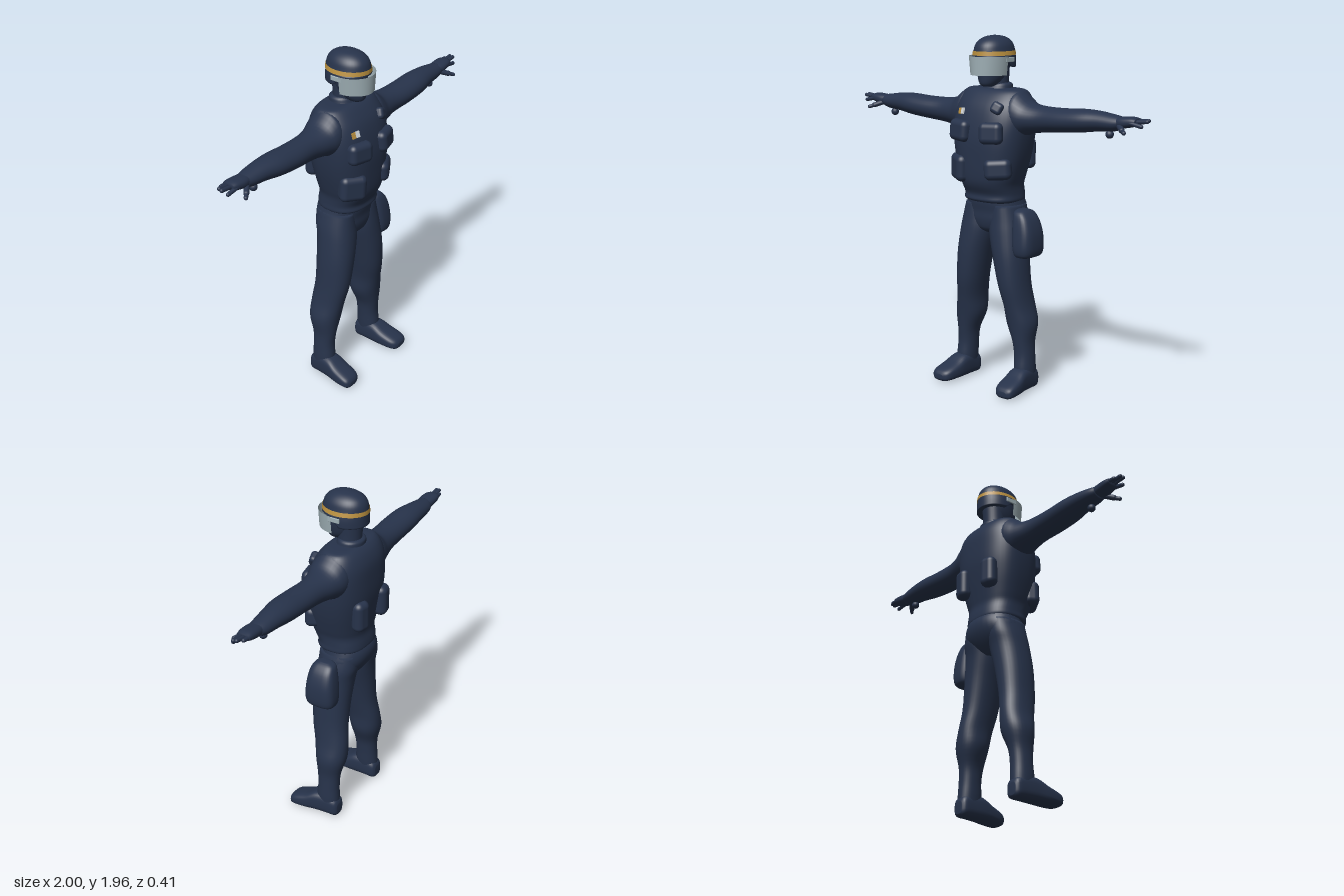
import * as THREE from 'three';
import { RoundedBoxGeometry } from 'three/addons/geometries/RoundedBoxGeometry.js';

const mat = (name, color, side = THREE.FrontSide) => {
  const m = new THREE.MeshStandardMaterial({ color, side });
  m.name = name;
  return m;
};

// Smooth interpolation through rows of numbers
function smoothRows(rows, steps) {
  const out = [], last = rows.length - 1;
  for (let i = 0; i < last; i++) {
    const p = rows[Math.max(i - 1, 0)], a = rows[i], b = rows[i + 1], q = rows[Math.min(i + 2, last)];
    for (let s = 0; s < steps; s++) {
      const t = s / steps;
      out.push(a.map((v, k) => {
        const c3 = 3 * (v - b[k]) + q[k] - p[k];
        const c2 = 2 * p[k] - 5 * v + 4 * b[k] - q[k];
        return v + 0.5 * t * (b[k] - p[k] + t * (c2 + t * c3));
      }));
    }
  }
  out.push(rows[last]);
  return out;
}

// Closed skin through superellipse sections [pos, minU, maxU, minV, maxV]; place(pos, u, v) gives x, y, z
function loft(rows, place, n = 2, steps = 4, sides = 32) {
  const rings = smoothRows(rows, steps), pos = [], idx = [];
  const sp = (v) => Math.sign(v) * Math.abs(v) ** (2 / n);
  for (const [p, u0, u1, v0, v1] of rings) {
    for (let j = 0; j < sides; j++) {
      const a = (j / sides) * Math.PI * 2;
      const u = (u0 + u1) / 2 + ((u1 - u0) / 2) * sp(Math.cos(a));
      const v = (v0 + v1) / 2 + ((v1 - v0) / 2) * sp(Math.sin(a));
      pos.push(...place(p, u, v));
    }
  }
  const last = rings.length - 1;
  for (let i = 0; i < last; i++) {
    for (let j = 0; j < sides; j++) {
      const a = i * sides + j, b = i * sides + (j + 1) % sides, c = a + sides, d = b + sides;
      idx.push(a, c, b, b, c, d);
    }
  }
  [0, last].forEach((r) => {
    const [p, u0, u1, v0, v1] = rings[r], c = pos.length / 3;
    pos.push(...place(p, (u0 + u1) / 2, (v0 + v1) / 2));
    for (let j = 0; j < sides; j++) {
      const a = r * sides + j, b = r * sides + (j + 1) % sides;
      if (r) idx.push(a, c, b);
      else idx.push(a, b, c);
    }
  });
  // Turn the faces outward if the enclosed volume is negative
  let vol = 0;
  const P = (i) => new THREE.Vector3().fromArray(pos, i * 3);
  for (let i = 0; i < idx.length; i += 3) vol += P(idx[i]).dot(P(idx[i + 1]).cross(P(idx[i + 2])));
  if (vol < 0) idx.reverse();
  const g = new THREE.BufferGeometry();
  g.setAttribute('position', new THREE.Float32BufferAttribute(pos, 3));
  g.setIndex(idx);
  g.computeVertexNormals();
  return g;
}

const upright = (y, x, z) => [x, y, z];
// Symmetric upright rows [y, halfWidth, back, front]
const sym = (rows) => rows.map(([y, r, b, f]) => [y, -r, r, b, f]);

export function createModel() {
  const root = new THREE.Group();
  root.name = 'officer';
  const navy = mat('navy cloth', 0x27334b);
  const gold = mat('gold trim', 0xb98f3e, THREE.DoubleSide);
  const glass = mat('pale visor', 0x9fb0b6, THREE.DoubleSide);
  const white = mat('white badge', 0xd5dade);

  const add = (name, geo, m = navy, at = [0, 0, 0], rot = [0, 0, 0], parent = root) => {
    const o = new THREE.Mesh(geo, m);
    o.name = name;
    o.position.set(...at);
    o.rotation.set(...rot);
    parent.add(o);
    return o;
  };

  // Torso with vest, then pelvis, collar, neck and head
  add('vest', loft(sym([
    [1.05, 0.145, -0.13, 0.09], [1.065, 0.165, -0.155, 0.122], [1.1, 0.165, -0.155, 0.122],
    [1.15, 0.168, -0.148, 0.148], [1.2, 0.183, -0.155, 0.16], [1.3, 0.21, -0.172, 0.165],
    [1.4, 0.228, -0.185, 0.165], [1.5, 0.236, -0.185, 0.15], [1.58, 0.225, -0.178, 0.125],
    [1.635, 0.205, -0.155, 0.088], [1.665, 0.18, -0.125, 0.055], [1.672, 0.13, -0.1, 0.03],
  ]), upright, 2.5, 4, 48));
  add('pelvis', loft(sym([
    [0.875, 0.04, -0.08, 0.04], [0.9, 0.11, -0.11, 0.075], [0.95, 0.175, -0.145, 0.09],
    [1.0, 0.178, -0.165, 0.092], [1.05, 0.165, -0.165, 0.1], [1.1, 0.155, -0.14, 0.1],
  ]), upright, 2.3));
  add('collar', loft(sym([
    [1.63, 0.1, -0.125, 0.055], [1.665, 0.085, -0.118, 0.035], [1.69, 0.08, -0.116, 0.025], [1.7, 0.068, -0.1, 0.015],
  ]), upright, 2.1));
  add('neck', loft(sym([[1.62, 0.068, -0.1, 0.03], [1.7, 0.064, -0.1, 0.03], [1.82, 0.068, -0.108, 0.03]]), upright));
  add('head', loft(sym([
    [1.682, 0.025, 0.02, 0.07], [1.695, 0.045, -0.02, 0.09], [1.73, 0.066, -0.07, 0.097],
    [1.79, 0.08, -0.1, 0.1], [1.86, 0.08, -0.11, 0.09], [1.9, 0.05, -0.07, 0.05],
  ]), upright));

  // Helmet: the lower rim climbs over the face
  const rimmed = (y, x, z) => {
    const t = THREE.MathUtils.smoothstep(z, -0.04, 0.03);
    return [x, y < 1.85 ? THREE.MathUtils.lerp(y, 1.838 + (y - 1.785) * 0.18, t) : y, z];
  };
  add('helmet', loft(sym([
    [1.785, 0.108, -0.138, 0.118], [1.82, 0.108, -0.138, 0.118], [1.85, 0.104, -0.137, 0.117],
    [1.875, 0.098, -0.136, 0.115], [1.905, 0.09, -0.128, 0.106], [1.93, 0.072, -0.108, 0.083],
    [1.948, 0.043, -0.07, 0.045], [1.955, 0.008, -0.022, -0.004],
  ]), rimmed, 2.1, 4, 40));

  // Helmet band and curved visor: open strips around an ellipse
  const strip = (y0, r0, y1, r1, cz, a0, a1) => {
    const g = new THREE.CylinderGeometry(1, 1, 1, 40, 2, true, a0, a1 - a0), p = g.attributes.position;
    for (let i = 0; i < p.count; i++) {
      const t = p.getY(i) + 0.5, mix = (a, b) => THREE.MathUtils.lerp(a, b, t);
      p.setXYZ(i, p.getX(i) * mix(r0[0], r1[0]), mix(y0, y1), cz + p.getZ(i) * mix(r0[1], r1[1]));
    }
    g.computeVertexNormals();
    return g;
  };
  add('helmetBand', strip(1.85, [0.109, 0.132], 1.873, [0.103, 0.13], -0.01, 0, Math.PI * 2), gold);
  add('visor', strip(1.745, [0.106, 0.126], 1.846, [0.118, 0.13], 0.012, -Math.PI / 2, Math.PI / 2), glass);

  for (const s of [1, -1]) {
    const side = s > 0 ? 'left' : 'right';
    const put = (name, geo, at, rot) => add(side + name, geo, navy, at, rot);
    const across = (x, y, z) => [s * x, y, z];

    add(side + 'VisorHinge', new RoundedBoxGeometry(0.008, 0.026, 0.07, 2, 0.003), glass, [s * 0.113, 1.828, -0.005]);

    // Sleeve rows: x, bottom, top, back, front
    put('Arm', loft([
      [0.1, 1.42, 1.63, -0.13, 0.08], [0.17, 1.41, 1.665, -0.14, 0.09], [0.21, 1.42, 1.642, -0.135, 0.088],
      [0.26, 1.44, 1.607, -0.12, 0.075], [0.35, 1.455, 1.594, -0.1, 0.06], [0.48, 1.467, 1.594, -0.096, 0.067],
      [0.6, 1.478, 1.6, -0.095, 0.064], [0.7, 1.492, 1.596, -0.086, 0.046], [0.79, 1.5, 1.584, -0.076, 0.034],
      [0.83, 1.512, 1.578, -0.062, 0.025],
    ], across));
    put('Palm', loft([
      [0.8, 1.515, 1.575, -0.06, 0.02], [0.85, 1.52, 1.58, -0.064, 0.028], [0.9, 1.53, 1.582, -0.064, 0.024],
      [0.93, 1.54, 1.576, -0.058, 0.016],
    ], across, 2.4));
    put('CuffKnob', new THREE.SphereGeometry(0.022, 16, 12), [s * 0.76, 1.482, -0.015]);

    // Fingers and thumb as capsules from one point to another
    const digit = (name, a, b, r) => {
      const A = new THREE.Vector3(s * a[0], a[1], a[2]), B = new THREE.Vector3(s * b[0], b[1], b[2]);
      const d = B.clone().sub(A), o = put(name, new THREE.CapsuleGeometry(r, d.length(), 6, 12));
      o.position.copy(A).lerp(B, 0.5);
      o.quaternion.setFromUnitVectors(new THREE.Vector3(0, 1, 0), d.normalize());
    };
    [[-0.05, 0.955, 1.56], [-0.029, 0.985, 1.568], [-0.008, 0.988, 1.565], [0.014, 0.965, 1.54]].forEach(([z, x, y], i) =>
      digit('Finger' + (i + 1), [0.89, 1.555, z], [x, y, z * 0.85 - 0.002], 0.011));
    digit('ThumbBase', [0.83, 1.535, 0.008], [0.872, 1.517, 0.042], 0.015);
    digit('ThumbTip', [0.872, 1.517, 0.042], [0.896, 1.507, 0.06], 0.011);

    // Leg rows: y, inner, outer, back, front
    put('Leg', loft([
      [0.05, 0.165, 0.262, -0.095, 0.04], [0.12, 0.158, 0.264, -0.093, 0.042], [0.2, 0.153, 0.26, -0.09, 0.035],
      [0.28, 0.142, 0.258, -0.096, 0.042], [0.38, 0.103, 0.268, -0.122, 0.056], [0.48, 0.095, 0.245, -0.123, 0.074],
      [0.6, 0.07, 0.23, -0.11, 0.098], [0.75, 0.036, 0.22, -0.112, 0.106], [0.88, 0.004, 0.204, -0.122, 0.1],
      [0.96, 0.004, 0.19, -0.14, 0.092], [1.04, 0.02, 0.168, -0.14, 0.085],
    ], (y, x, z) => [s * x, y, z], 2.2));

    // Boot rows: z, inner, outer, bottom, top
    put('Boot', loft([
      [-0.102, 0.185, 0.24, 0.015, 0.08], [-0.085, 0.165, 0.258, 0, 0.11], [-0.03, 0.16, 0.266, 0, 0.13],
      [0.04, 0.156, 0.276, 0, 0.128], [0.1, 0.157, 0.287, 0, 0.098], [0.16, 0.164, 0.291, 0, 0.076],
      [0.192, 0.18, 0.283, 0.002, 0.06], [0.205, 0.205, 0.26, 0.015, 0.042],
    ], (z, x, y) => [s * x, y, z], 3));

    // Vest pouches
    const box = (w, h, d, r) => new RoundedBoxGeometry(w, h, d, 5, r);
    put('ChestPouch', box(s > 0 ? 0.135 : 0.145, 0.118, 0.085, 0.032), [s * 0.106, 1.445, 0.14], [-0.06, s * 0.25, s * 0.05]);
    put('BellyPouch', box(0.15, s > 0 ? 0.115 : 0.148, 0.09, 0.034), [s * 0.13, s > 0 ? 1.25 : 1.238, 0.115], [0, s * 0.55, s * 0.06]);
    put('BackPouch', box(0.095, 0.175, 0.075, 0.034), [s * 0.108, 1.308, -0.168], [0, -s * 0.2, 0]);
  }

  // Radio, badge and thigh holster
  add('chestRadio', new RoundedBoxGeometry(0.068, 0.065, 0.05, 4, 0.02), navy, [0.12, 1.577, 0.11], [-0.3, 0.35, -0.35]);
  const badge = new THREE.Group();
  badge.name = 'chestBadge';
  badge.position.set(-0.117, 1.548, 0.126);
  badge.rotation.set(-0.28, -0.33, 0);
  root.add(badge);
  const plate = new THREE.BoxGeometry(0.023, 0.034, 0.009);
  add('badgeGold', plate, gold, [-0.0125, 0, 0], [0, 0, 0], badge);
  add('badgeWhite', plate, white, [0.0125, 0, 0], [0, 0, 0], badge);
  add('holster', loft([
    [0.762, 0.205, 0.265, -0.06, 0.045], [0.775, 0.185, 0.295, -0.09, 0.072], [0.82, 0.175, 0.306, -0.1, 0.082],
    [0.9, 0.17, 0.302, -0.096, 0.077], [0.97, 0.17, 0.28, -0.085, 0.066], [1.01, 0.17, 0.25, -0.07, 0.05],
    [1.025, 0.18, 0.225, -0.04, 0.02],
  ], upright, 3));
  return root;
}
